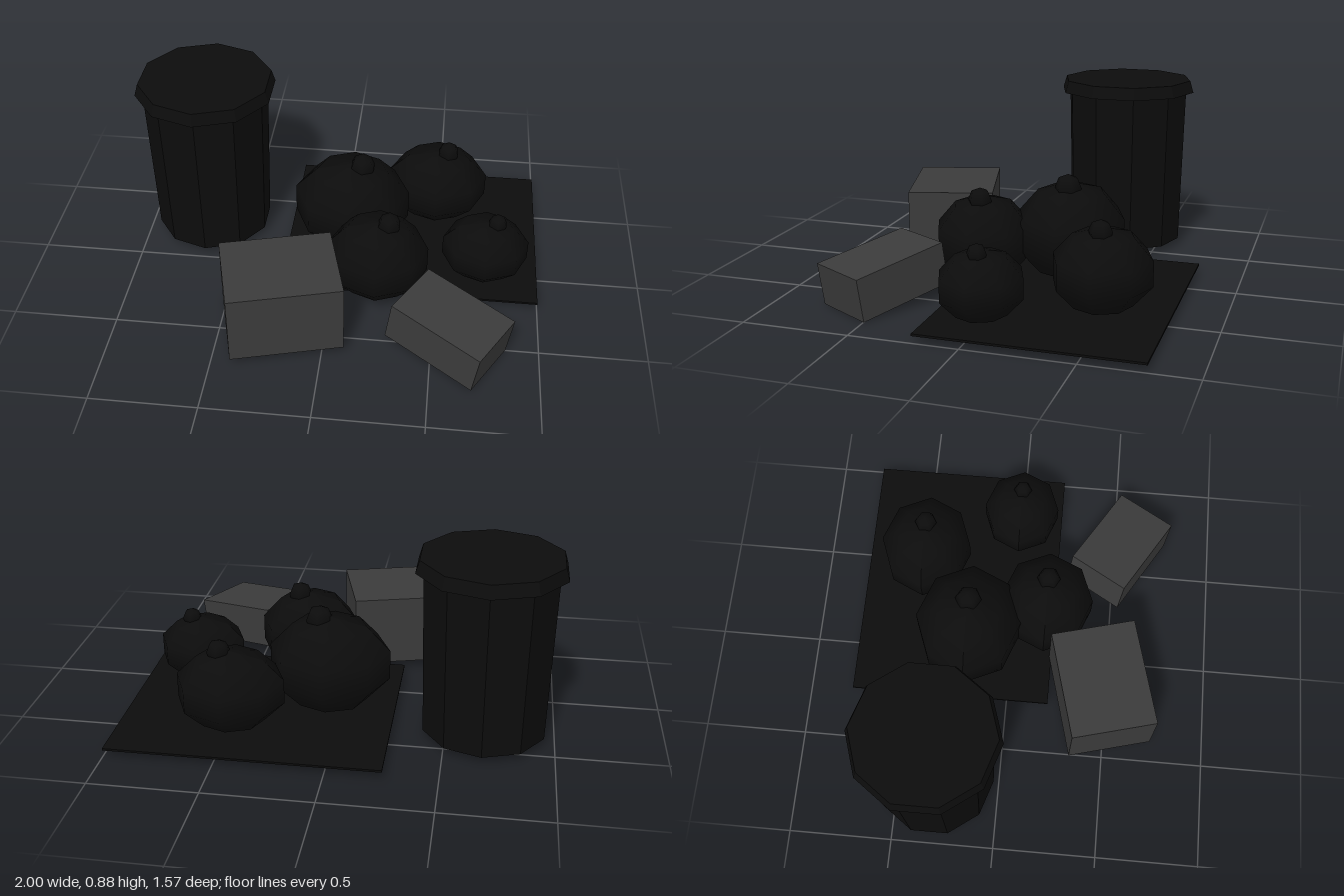
import * as THREE from 'three';

export function createModel() {
  const group = new THREE.Group();
  const black = new THREE.MeshStandardMaterial({ color: 0x0c0c0c });
  black.name = 'black plastic';
  const grey = new THREE.MeshStandardMaterial({ color: 0x3b3b3b });
  grey.name = 'grey cardboard';

  const add = (name, geometry, material, x, y, z, parent = group) => {
    const mesh = new THREE.Mesh(geometry, material);
    mesh.name = name;
    mesh.position.set(x, y, z);
    parent.add(mesh);
    return mesh;
  };
  const facet = (geometry) => {
    const g = geometry.toNonIndexed();
    g.computeVertexNormals();
    return g;
  };

  // ground sheet
  add('groundSheet', new THREE.BoxGeometry(1.255, 0.01, 0.995), black, 0.3725, 0.04, -0.2875);

  // ten-sided bin with a flared lid
  const bin = new THREE.Group();
  bin.name = 'bin';
  bin.position.set(-0.675, 0, -0.315);
  group.add(bin);
  add('binBody', facet(new THREE.CylinderGeometry(0.308, 0.29, 0.8, 10)), black, 0, 0.436, 0, bin);
  add('binLid', facet(new THREE.CylinderGeometry(0.327, 0.345, 0.06, 10)), black, 0, 0.85, 0, bin);

  // tied sacks: centre x, y, z, half width, half height, half depth, knot top, knot radius
  const ring = Math.cos(Math.PI / 10); // widest ring of a five-band sphere
  const sacks = [
    [0.06, 0.262, -0.215, 0.285, 0.232, 0.26, 0.545, 0.065],
    [0.22, 0.237, 0.165, 0.24, 0.205, 0.228, 0.49, 0.058],
    [0.48, 0.225, -0.475, 0.25, 0.19, 0.225, 0.466, 0.055],
    [0.735, 0.193, -0.005, 0.207, 0.157, 0.19, 0.392, 0.046],
  ];
  sacks.forEach(([x, y, z, w, h, d, top, r]) => {
    const sack = new THREE.Group();
    sack.name = 'sack';
    sack.position.set(x, y, z);
    group.add(sack);
    const body = new THREE.SphereGeometry(1, 8, 5);
    body.scale(w / ring, h, d / ring);
    body.computeVertexNormals();
    add('sackBody', body, black, 0, 0, 0, sack);
    const knot = new THREE.SphereGeometry(r, 6, 4);
    knot.rotateY(Math.PI / 2);
    add('sackKnot', knot, black, 0.05, top - r - y, 0, sack);
  });

  // cardboard boxes, the small one leaning off the sheet
  const large = add('largeBox', new THREE.BoxGeometry(0.527, 0.35, 0.413), grey, -0.205, 0.215, 0.467);
  large.rotation.y = 0.26;
  const small = add('smallBox', new THREE.BoxGeometry(0.473, 0.203, 0.311), grey, 0.58, 0.138, 0.522);
  small.rotation.set(0, -0.525, -0.15, 'YXZ');

  return group;
}
